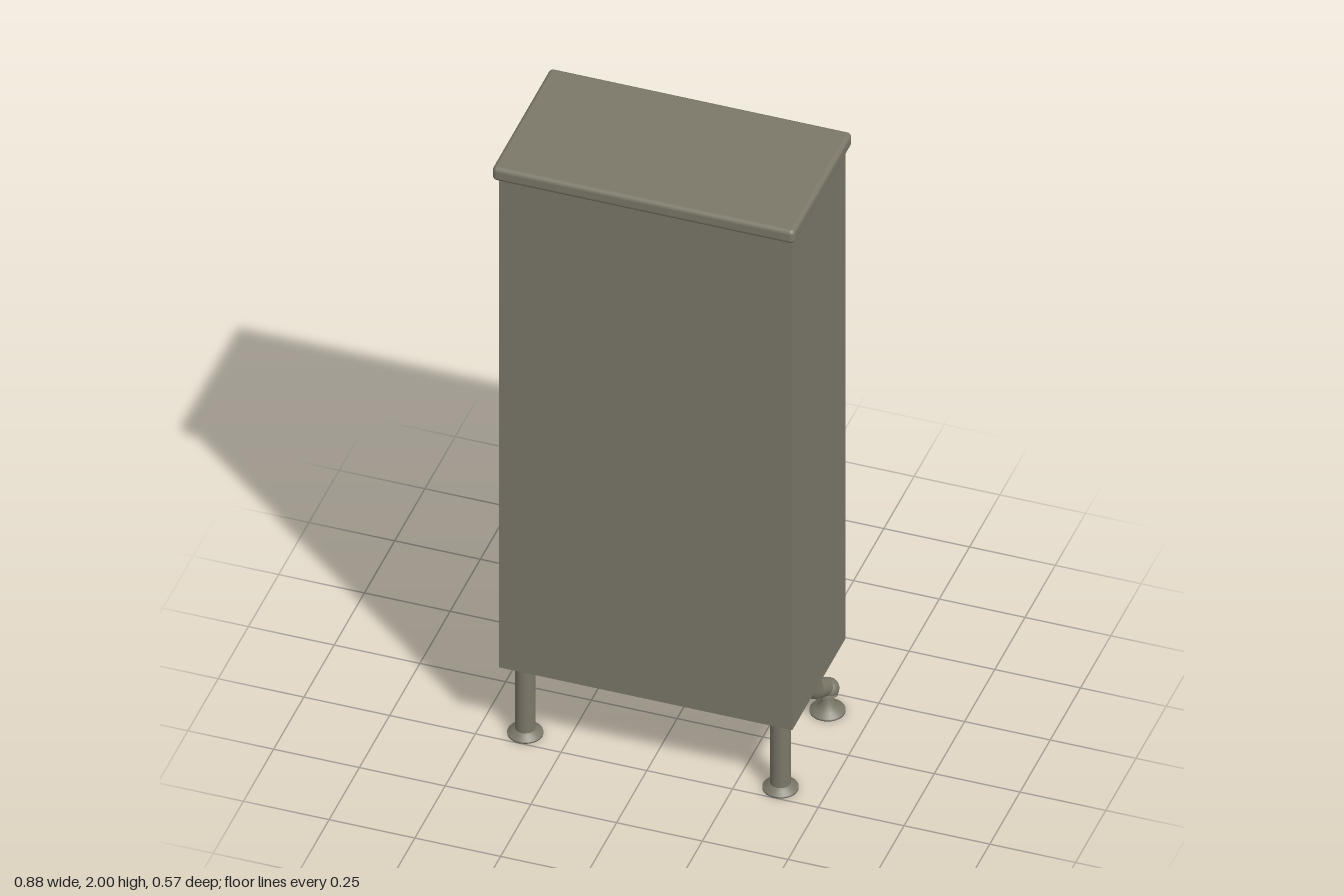
import * as THREE from 'three';
import { RoundedBoxGeometry } from 'three/addons/geometries/RoundedBoxGeometry.js';

const paint = new THREE.MeshStandardMaterial({ color: 0x7b7869, side: THREE.DoubleSide });
paint.name = 'olive grey paint';

function add(parent, name, geometry, x = 0, y = 0, z = 0) {
  const mesh = new THREE.Mesh(geometry, paint);
  mesh.name = name;
  mesh.position.set(x, y, z);
  parent.add(mesh);
  return mesh;
}

// Rounded rectangle centred on the origin
function roundRect(w, h, r, PathType = THREE.Shape) {
  const p = new PathType();
  const x = w / 2, y = h / 2;
  p.moveTo(-x + r, -y);
  p.lineTo(x - r, -y); p.quadraticCurveTo(x, -y, x, -y + r);
  p.lineTo(x, y - r); p.quadraticCurveTo(x, y, x - r, y);
  p.lineTo(-x + r, y); p.quadraticCurveTo(-x, y, -x, y - r);
  p.lineTo(-x, -y + r); p.quadraticCurveTo(-x, -y, -x + r, -y);
  return p;
}

function withRoundHole(shape, x, y, r) {
  shape.holes.push(new THREE.Path().absarc(x, y, r, 0, Math.PI * 2, true));
  return shape;
}

const lathe = (points, n = 24) =>
  new THREE.LatheGeometry(points.map(([r, y]) => new THREE.Vector2(r, y)), n);

const tube = (points, r) => new THREE.TubeGeometry(
  new THREE.CatmullRomCurve3(points.map(p => new THREE.Vector3(...p)), false, 'centripetal'), 24, r, 14);

const footProfile = [[0, 0], [0.05, 0], [0.05, 0.006], [0.034, 0.014], [0.02, 0.03], [0, 0.03]];

function addLegs(model) {
  for (const side of [-1, 1]) {
    const name = side > 0 ? 'left' : 'right';
    // Straight legs
    add(model, name + 'StraightLeg', new THREE.CylinderGeometry(0.029, 0.029, 0.255, 18), side * 0.372, 0.1375, 0.2);
    add(model, name + 'StraightFoot', lathe(footProfile), side * 0.372, 0, 0.2);
    // Bent legs with a kicked-out ankle
    add(model, name + 'BentLeg', tube([
      [side * 0.355, 0.27, -0.107], [side * 0.355, 0.14, -0.107], [side * 0.358, 0.105, -0.12],
      [side * 0.365, 0.085, -0.16], [side * 0.372, 0.07, -0.185], [side * 0.378, 0.045, -0.18],
    ], 0.027));
    add(model, name + 'AnkleBall', new THREE.SphereGeometry(0.031, 16, 12), side * 0.375, 0.066, -0.187);
    add(model, name + 'BentFoot', lathe([...footProfile.slice(0, 5), [0.017, 0.05]]), side * 0.378, 0, -0.172);
  }
}

function createDoor() {
  // Built facing +z, then turned to face the back: local x is mirrored
  const door = new THREE.Group();
  door.name = 'door';
  door.rotation.y = Math.PI;
  const midY = 1.115, holeX = -0.01, holeR = 0.14;

  // Rim around the door
  const rim = roundRect(0.8, 1.624, 0.025);
  rim.holes.push(roundRect(0.758, 1.582, 0.02, THREE.Path));
  add(door, 'doorRim', new THREE.ExtrudeGeometry(rim, {
    depth: 0.013, bevelThickness: 0.007, bevelSize: 0.005, bevelSegments: 3, curveSegments: 6,
  }), 0, midY, 0.175);

  // Door panel with a round opening
  add(door, 'doorPanel', new THREE.ExtrudeGeometry(
    withRoundHole(roundRect(0.732, 1.556, 0.02), holeX, 0, holeR),
    { depth: 0.006, bevelThickness: 0.004, bevelSize: 0.003, bevelSegments: 2, curveSegments: 20 },
  ), 0, midY, 0.174);

  // Sunken collar with a ragged inner edge
  const collar = lathe([[0.146, 0], [0.135, -0.004], [0.124, -0.02], [0.112, -0.045]], 40);
  const pos = collar.attributes.position;
  for (let i = 0; i <= 40; i++) {
    const a = i / 40 * Math.PI * 2, k = i * 4 + 3;
    const s = 1 + 0.07 * Math.sin(3 * a + 1) + 0.05 * Math.sin(7 * a);
    pos.setXYZ(k, pos.getX(k) * s, pos.getY(k), pos.getZ(k) * s);
  }
  collar.rotateX(Math.PI / 2);
  collar.computeVertexNormals();
  add(door, 'openingCollar', collar, holeX, midY, 0.184);

  // Switch boxes, each with two prongs and an indicator button above
  const box = new THREE.ExtrudeGeometry(roundRect(0.135, 0.16, 0.022), {
    depth: 0.034, bevelThickness: 0.03, bevelSize: 0.015, bevelSegments: 3, curveSegments: 6,
  });
  const prong = tube([[0, -0.006, -0.01], [0, 0, 0.012], [0, 0.008, 0.04]], 0.009);
  const button = lathe([[0.024, 0], [0.023, 0.006], [0.014, 0.012], [0, 0.014]]).rotateX(Math.PI / 2);
  for (const x of [-0.21, 0.015, 0.23]) {
    const unit = new THREE.Group();
    unit.name = 'switchUnit';
    unit.position.set(x, 1.697, 0);
    add(unit, 'switchBox', box, 0, 0, 0.181);
    for (const dx of [-0.026, 0.032]) {
      add(unit, 'prong', prong, dx, 0, 0.245);
      add(unit, 'prongTip', new THREE.SphereGeometry(0.009, 10, 8), dx, 0.008, 0.277);
    }
    add(unit, 'indicatorButton', button, 0, 0.18, 0.184);
    door.add(unit);
  }

  // Hanging lever handle with its rosette and thin pin
  add(door, 'handleRosette', button, -0.27, 1.16, 0.182);
  add(door, 'handlePin', tube([[-0.27, 1.16, 0.185], [-0.278, 1.16, 0.21], [-0.285, 1.16, 0.235]], 0.005));
  add(door, 'handleLever', lathe([
    [0, 0], [0.017, 0.002], [0.021, 0.012], [0.019, 0.035], [0.012, 0.075], [0.007, 0.11],
    [0.007, 0.135], [0.012, 0.15], [0.012, 0.165], [0.006, 0.174], [0, 0.175],
  ], 16), -0.285, 1.0, 0.235);
  return door;
}

export function createModel() {
  const model = new THREE.Group();
  model.name = 'cabinet';

  // Hollow body, left open on the door side (last box face dropped)
  const body = new THREE.BoxGeometry(0.855, 1.695, 0.44);
  body.setIndex(Array.from(body.index.array.slice(0, 30)));
  body.clearGroups();
  add(model, 'body', body, 0.002, 1.1075, 0.045);

  // Wall behind the door
  const wall = new THREE.ShapeGeometry(withRoundHole(roundRect(0.855, 1.695, 0.002), -0.01, 0.0075, 0.143), 20);
  add(model, 'doorWall', wall, 0.002, 1.1075, -0.175).rotation.y = Math.PI;

  // Overhanging lid
  add(model, 'lid', new RoundedBoxGeometry(0.882, 0.046, 0.486, 3, 0.014), 0, 1.977, 0.042);

  addLegs(model);
  model.add(createDoor());
  return model;
}
